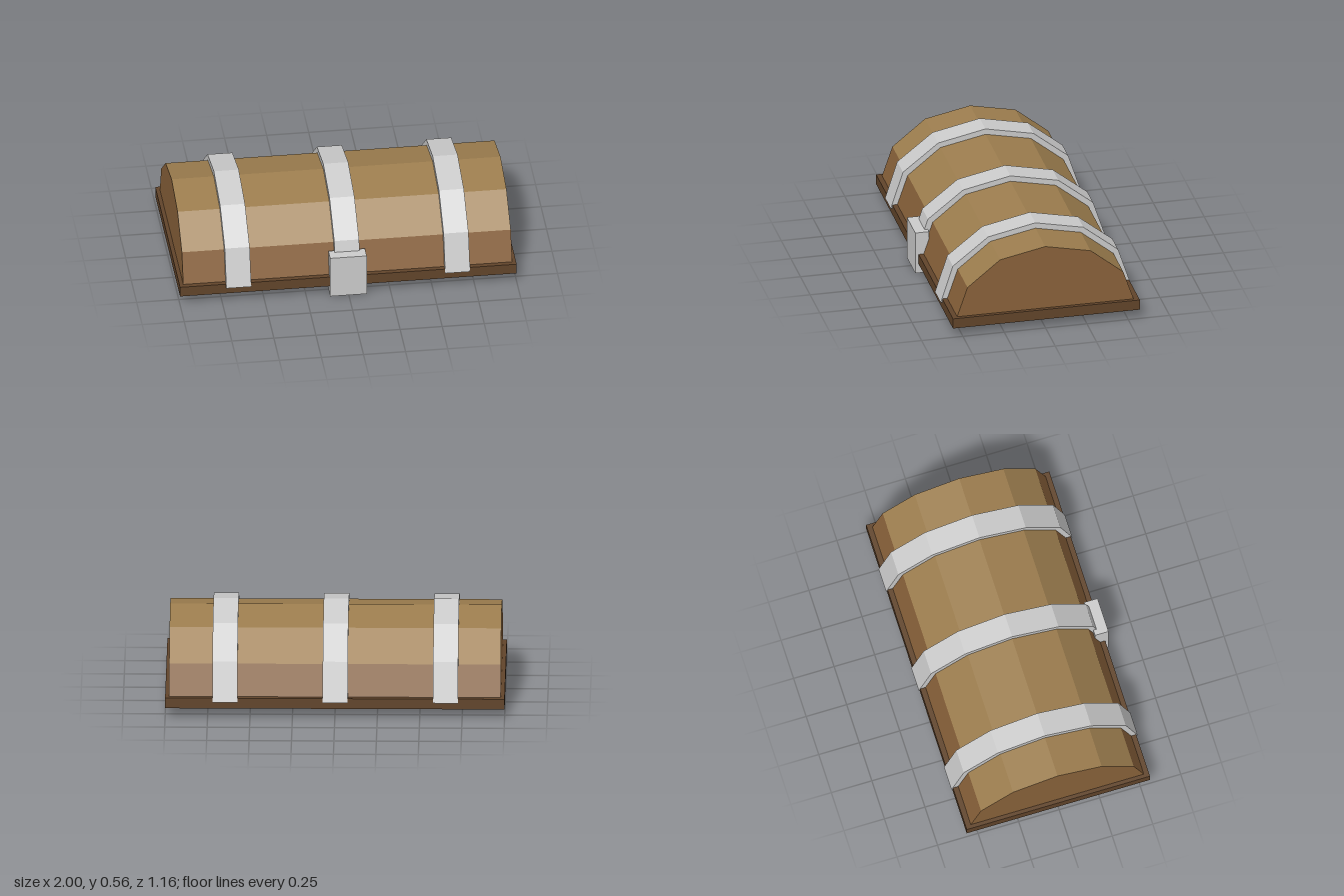
import * as THREE from 'three';

const mat = (color) => new THREE.MeshStandardMaterial({ color, flatShading: true });

// Cross-sections as [z, y], from the front edge over the ridge to the back edge
const LID = [[0.53, 0.12], [0.467, 0.305], [0.27, 0.465], [-0.003, 0.522], [-0.277, 0.465], [-0.475, 0.305], [-0.538, 0.12]];
const BAND = [[0.57, 0.098], [0.496, 0.328], [0.283, 0.496], [-0.003, 0.557], [-0.293, 0.496], [-0.503, 0.328], [-0.579, 0.098]];
const HALF = 0.977;

const shapeOf = (pts) => new THREE.Shape(pts.map(([u, v]) => new THREE.Vector2(u, v)));

// Flat panels spanning the lid's length along a run of profile points
function panels(pts) {
  const pos = [];
  for (let i = 0; i + 1 < pts.length; i++) {
    const [pz, py] = pts[i], [qz, qy] = pts[i + 1];
    pos.push(-HALF, py, pz, HALF, py, pz, HALF, qy, qz);
    pos.push(-HALF, py, pz, HALF, qy, qz, -HALF, qy, qz);
  }
  const geo = new THREE.BufferGeometry();
  geo.setAttribute('position', new THREE.Float32BufferAttribute(pos, 3));
  geo.computeVertexNormals();
  return geo;
}

export function createModel() {
  const group = new THREE.Group();
  const add = (name, geo, material, x = 0, y = 0, z = 0) => {
    const mesh = new THREE.Mesh(geo, material);
    mesh.name = name;
    mesh.position.set(x, y, z);
    group.add(mesh);
  };
  const darkWood = mat(0x61442a), wood = mat(0x89623a), paleWood = mat(0x9c7d4e), metal = mat(0xcccccc);

  // Rim under the lid
  add('rim', new THREE.BoxGeometry(2, 0.063, 1.13), darkWood, 0, 0.0895, -0.005);

  // Lid: pale upper panels, darker lower panels and ends
  add('lidTop', panels(LID.slice(1, 6)), paleWood);
  add('lidFront', panels(LID.slice(0, 2)), wood);
  add('lidBack', panels(LID.slice(5)), wood);
  add('lidEndRight', new THREE.ShapeGeometry(shapeOf(LID)).rotateY(-Math.PI / 2), wood, -HALF);
  const mirrored = LID.map(([z, y]) => [-z, y]);
  add('lidEndLeft', new THREE.ShapeGeometry(shapeOf(mirrored)).rotateY(Math.PI / 2), wood, HALF);

  // Metal bands: hoops whose inner edge sinks slightly into the lid
  const inner = LID.map(([z, y], i) => [z * 0.985, i % 6 === 0 ? 0.098 : y - 0.008]).reverse();
  const bandGeo = new THREE.ExtrudeGeometry(shapeOf([...BAND, ...inner]), { depth: 0.148, bevelEnabled: false });
  bandGeo.translate(0, 0, -0.074).rotateY(-Math.PI / 2);
  for (const [name, x] of [['bandRight', -0.652], ['bandMiddle', -0.002], ['bandLeft', 0.648]]) {
    add(name, bandGeo, metal, x);
  }

  // Latch block hanging at the front
  add('latch', new THREE.BoxGeometry(0.217, 0.263, 0.083), metal, -0.002, 0.1315, 0.539);

  return group;
}
